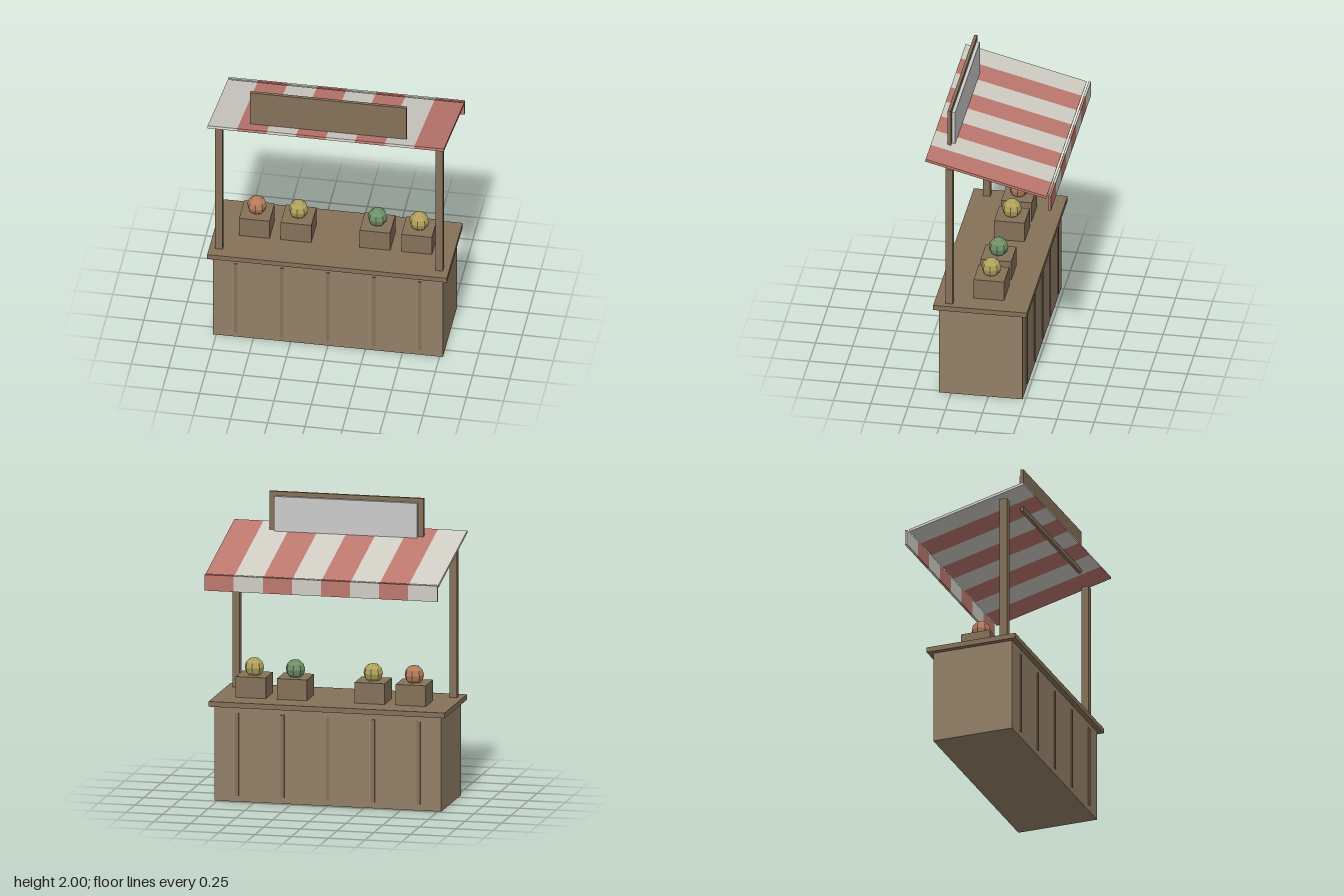
import * as THREE from 'three';

const paint = (color) => new THREE.MeshStandardMaterial({ color, flatShading: true });
const wood = paint(0x937f66);
const darkWood = paint(0x857159);
const cream = paint(0xd0cdc4);
const red = paint(0xbd786f);
const grey = new THREE.MeshStandardMaterial({ color: 0xcccccc });

// Box given by its centre in x and z, its bottom and top in y
function box(parent, name, material, w, d, x, y0, y1, z) {
  const mesh = new THREE.Mesh(new THREE.BoxGeometry(w, y1 - y0, d), material);
  mesh.position.set(x, (y0 + y1) / 2, z);
  mesh.name = name;
  parent.add(mesh);
  return mesh;
}

function createCounter() {
  const counter = new THREE.Group();
  counter.name = 'counter';
  box(counter, 'counterBody', wood, 1.545, 0.56, 0, 0, 0.64, 0.05);
  box(counter, 'counterTop', darkWood, 1.61, 0.63, 0, 0.64, 0.675, 0.05);
  // Thin battens on the front and back
  for (let i = -2; i <= 2; i++) {
    for (const z of [0.33, -0.23]) {
      box(counter, 'batten', darkWood, 0.024, 0.014, i * 0.309, 0.04, 0.6, z);
    }
  }
  return counter;
}

function createAwning() {
  const awning = new THREE.Group();
  awning.name = 'awning';
  const rise = 0.207, run = 0.813, count = 8, span = 1.586;
  const stripe = span / count;
  const length = Math.hypot(rise, run);
  for (let i = 0; i < count; i++) {
    const material = i % 2 ? red : cream;
    const x = -span / 2 + (i + 0.5) * stripe;
    // Sloping stripe, high at the front
    const roof = box(awning, 'awningStripe', material, stripe, length, x, 1.651, 1.669, 0.013);
    roof.rotation.x = -Math.atan2(rise, run);
    // Hanging flap at the low rear edge
    box(awning, 'valanceStripe', material, stripe, 0.016, x, 1.458, 1.565, -0.416);
  }
  return awning;
}

function createSign() {
  const sign = new THREE.Group();
  sign.name = 'sign';
  box(sign, 'signBoard', darkWood, 1.05, 0.021, 0, 1.697, 2, 0.304);
  box(sign, 'signPanel', grey, 0.975, 0.022, 0, 1.727, 1.97, 0.282);
  return sign;
}

function createCrate(x, color) {
  const crate = new THREE.Group();
  crate.name = 'crateWithProduce';
  box(crate, 'crate', darkWood, 0.205, 0.205, x, 0.675, 0.815, 0.015);
  const ball = new THREE.Mesh(new THREE.SphereGeometry(0.066, 8, 6), paint(color));
  ball.position.set(x, 0.865, 0.015);
  ball.name = 'produce';
  crate.add(ball);
  return crate;
}

export function createModel() {
  const stall = new THREE.Group();
  stall.name = 'marketStall';
  stall.add(createCounter(), createAwning(), createSign());
  // Posts carrying the awning
  for (const side of [-1, 1]) {
    box(stall, 'post', darkWood, 0.05, 0.05, side * 0.74, 0.675, 1.69, 0.265);
  }
  // Crates with one fruit each
  const produce = [[-0.53, 0xb57c5c], [-0.25, 0xb0a25c], [0.28, 0x6f9168], [0.56, 0xb0a25c]];
  for (const [x, color] of produce) stall.add(createCrate(x, color));
  return stall;
}
